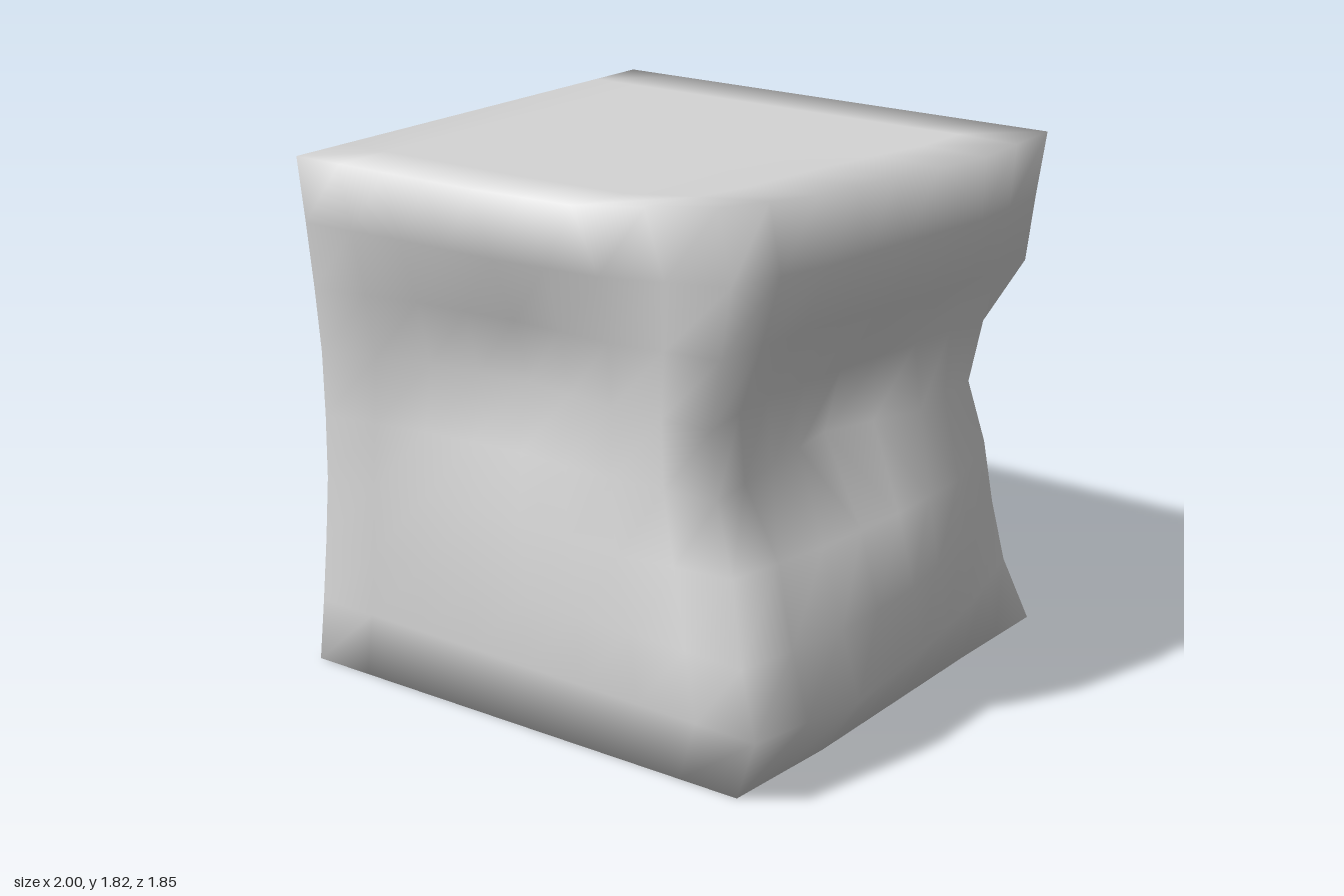
import * as THREE from 'three';
import { mergeVertices } from 'three/addons/utils/BufferGeometryUtils.js';

const SEGMENTS = 8;
const SIZE = 1.82;

// x of the right side, one row per station from back to front, nine heights from bottom to top
const RIGHT_X = [
  [0.82, 0.74, 0.70, 0.67, 0.62, 0.66, 0.78, 0.80, 0.82],
  [0.82, 0.87, 0.84, 0.81, 0.66, 0.62, 0.77, 0.82, 0.80],
  [0.83, 0.95, 0.92, 0.82, 0.52, 0.57, 0.70, 0.77, 0.69],
  [0.84, 1.00, 0.93, 0.79, 0.57, 0.54, 0.65, 0.73, 0.65],
  [0.82, 0.91, 0.85, 0.72, 0.63, 0.60, 0.62, 0.63, 0.54],
];

// z of the front side, one row per station from -x to +x
const FRONT_Z = [
  [0.89, 0.88, 0.87, 0.86, 0.86, 0.86, 0.87, 0.88, 0.89],
  [0.89, 0.89, 0.87, 0.84, 0.79, 0.74, 0.79, 0.86, 0.89],
  [0.89, 0.90, 0.87, 0.83, 0.76, 0.69, 0.76, 0.86, 0.89],
  [0.89, 0.91, 0.89, 0.84, 0.78, 0.74, 0.77, 0.82, 0.86],
  [0.89, 0.92, 0.91, 0.78, 0.74, 0.73, 0.71, 0.67, 0.61],
];

// z of the back right edge, which is pressed in at mid height
const BACK_EDGE_Z = [-0.93, -0.88, -0.85, -0.83, -0.79, -0.81, -0.88, -0.90, -0.93];

// Linear blend between neighbouring stations at height step j
function sample(rows, t, j) {
  const s = t * (rows.length - 1);
  const i = Math.min(Math.floor(s), rows.length - 2);
  return THREE.MathUtils.lerp(rows[i][j], rows[i + 1][j], s - i);
}

function dentedCube() {
  const box = new THREE.BoxGeometry(1, 1, 1, SEGMENTS, SEGMENTS, SEGMENTS);
  // Share vertices across the edges so shading rolls softly around them
  box.deleteAttribute('normal');
  box.deleteAttribute('uv');
  const geometry = mergeVertices(box);
  geometry.clearGroups();
  const p = geometry.attributes.position;
  for (let i = 0; i < p.count; i++) {
    const u = p.getX(i) + 0.5;
    const v = p.getY(i) + 0.5;
    const w = p.getZ(i) + 0.5;
    const j = Math.round(v * SEGMENTS);
    // The front left edge is squeezed in slightly
    const left = -1 + 0.05 * w ** 4 * Math.sin(Math.PI * v);
    // The back stays flat except close to the right edge
    const back = THREE.MathUtils.lerp(-0.93, BACK_EDGE_Z[j], u ** 10);
    const x = THREE.MathUtils.lerp(left, sample(RIGHT_X, w, j), u);
    const z = THREE.MathUtils.lerp(back, sample(FRONT_Z, u, j), w);
    // The top sags a little along its right rim
    const sag = v > 0.99 ? 0.03 * u ** 8 * Math.sin(Math.PI * w) : 0;
    p.setXYZ(i, x, v * SIZE - sag, z);
  }
  geometry.computeVertexNormals();
  return geometry;
}

export function createModel() {
  const group = new THREE.Group();
  group.name = 'sculptedBlock';
  const clay = new THREE.MeshStandardMaterial({ color: 0xd4d4d4 });
  clay.name = 'lightGreyClay';
  const block = new THREE.Mesh(dentedCube(), clay);
  block.name = 'dentedCube';
  group.add(block);
  return group;
}
